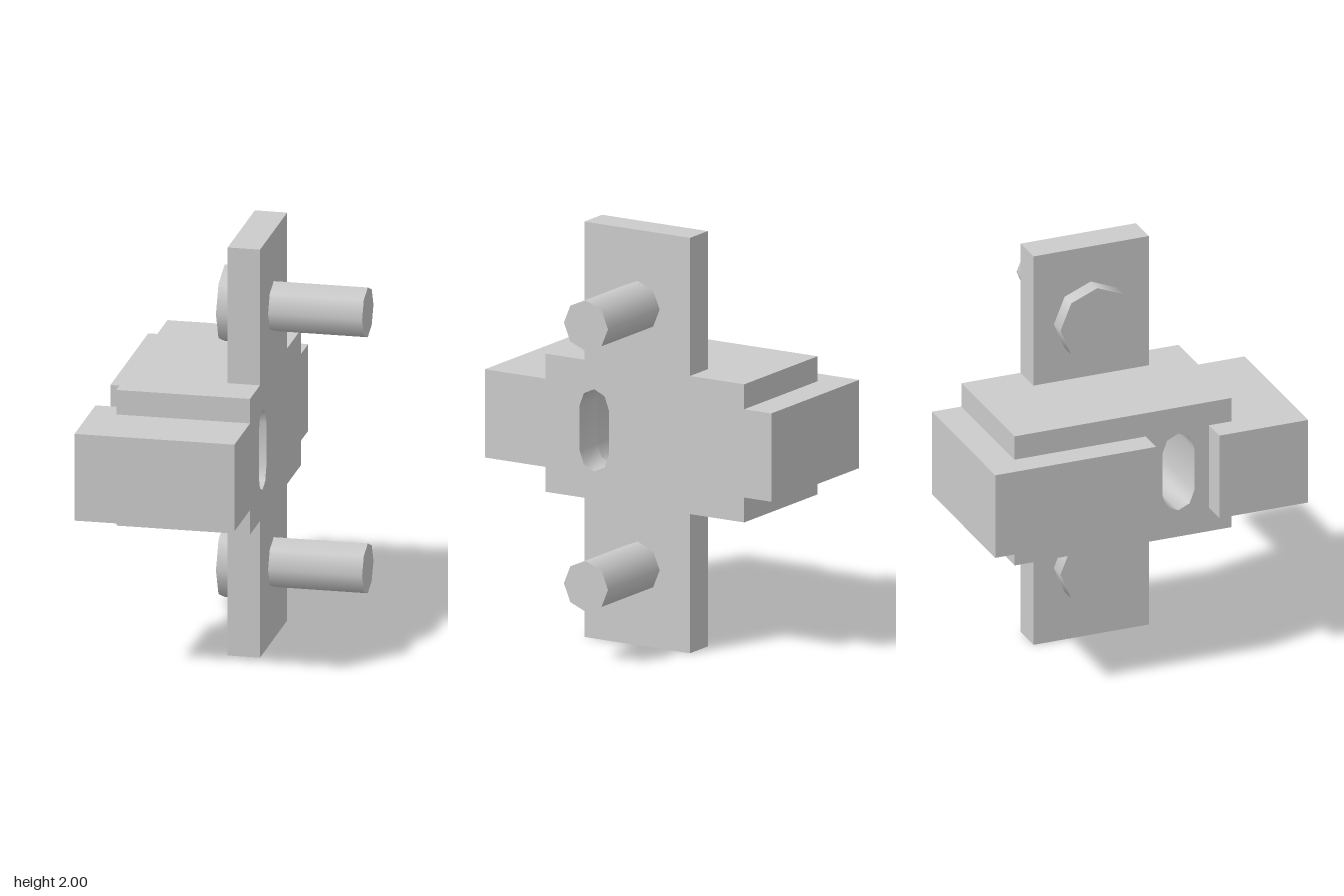
import * as THREE from 'three';
import { toCreasedNormals } from 'three/addons/utils/BufferGeometryUtils.js';

const material = new THREE.MeshStandardMaterial({ color: 0xcccccc });

// Profile corners are [z, y]; the profile is extruded along +x from x0 to x1.
function slottedSlab(name, corners, x0, x1) {
  const shape = new THREE.Shape(corners.map(([z, y]) => new THREE.Vector2(-z, y)));
  const slot = new THREE.Path();
  slot.absellipse(-0.19, 1.11, 0.081, 0.09, 0, Math.PI, false, 0);
  slot.absellipse(-0.19, 0.895, 0.081, 0.09, Math.PI, Math.PI * 2, false, 0);
  slot.closePath();
  shape.holes.push(slot);
  const geometry = new THREE.ExtrudeGeometry(shape, { depth: x1 - x0, bevelEnabled: false, curveSegments: 2 });
  geometry.rotateY(Math.PI / 2).translate(x0, 0, 0);
  const mesh = new THREE.Mesh(toCreasedNormals(geometry, 0.95), material);
  mesh.name = name;
  return mesh;
}

function block(name, x0, x1, y0, y1, z0, z1) {
  const mesh = new THREE.Mesh(new THREE.BoxGeometry(x1 - x0, y1 - y0, z1 - z0), material);
  mesh.position.set((x0 + x1) / 2, (y0 + y1) / 2, (z0 + z1) / 2);
  mesh.name = name;
  return mesh;
}

// Eight-sided rod lying along x
function rod(name, x0, x1, radius, y) {
  const geometry = new THREE.CylinderGeometry(radius, radius, x1 - x0, 8).rotateZ(Math.PI / 2);
  const mesh = new THREE.Mesh(geometry, material);
  mesh.position.set((x0 + x1) / 2, y, -0.05);
  mesh.name = name;
  return mesh;
}

export function createModel() {
  const group = new THREE.Group();
  group.name = 'slottedBracket';

  // Stepped outlines of the body's rear and front ends
  const rearStep = [[-0.64, 1.335], [-0.64, 1.215], [-0.79, 1.215], [-0.79, 0.79], [-0.64, 0.79], [-0.64, 0.67]];
  const frontStep = [[0.46, 0.67], [0.46, 0.79], [0.795, 0.79], [0.795, 1.215], [0.46, 1.215], [0.46, 1.335]];

  // Mounting plate with upper and lower arms
  group.add(slottedSlab('mountingPlate', [
    [-0.34, 2], [-0.34, 1.335], ...rearStep, [-0.34, 0.67], [-0.34, 0],
    [0.245, 0], [0.245, 0.67], ...frontStep, [0.245, 1.335], [0.245, 2],
  ], 0, 0.155));

  // Body behind the plate, pierced by the slot
  group.add(slottedSlab('body', [...rearStep, ...frontStep], -0.485, 0));

  // Raised pads with a gap around the slot
  group.add(block('rearPad', -0.61, -0.485, 0.79, 1.215, -0.79, 0.025));
  group.add(block('frontPad', -0.61, -0.485, 0.79, 1.215, 0.345, 0.795));

  // Bolts through the two arms
  for (const [name, y] of [['upperBolt', 1.632], ['lowerBolt', 0.377]]) {
    const bolt = new THREE.Group();
    bolt.name = name;
    bolt.add(rod('boltHead', -0.08, 0, 0.187, y), rod('boltShank', 0.155, 0.605, 0.122, y));
    group.add(bolt);
  }
  return group;
}
